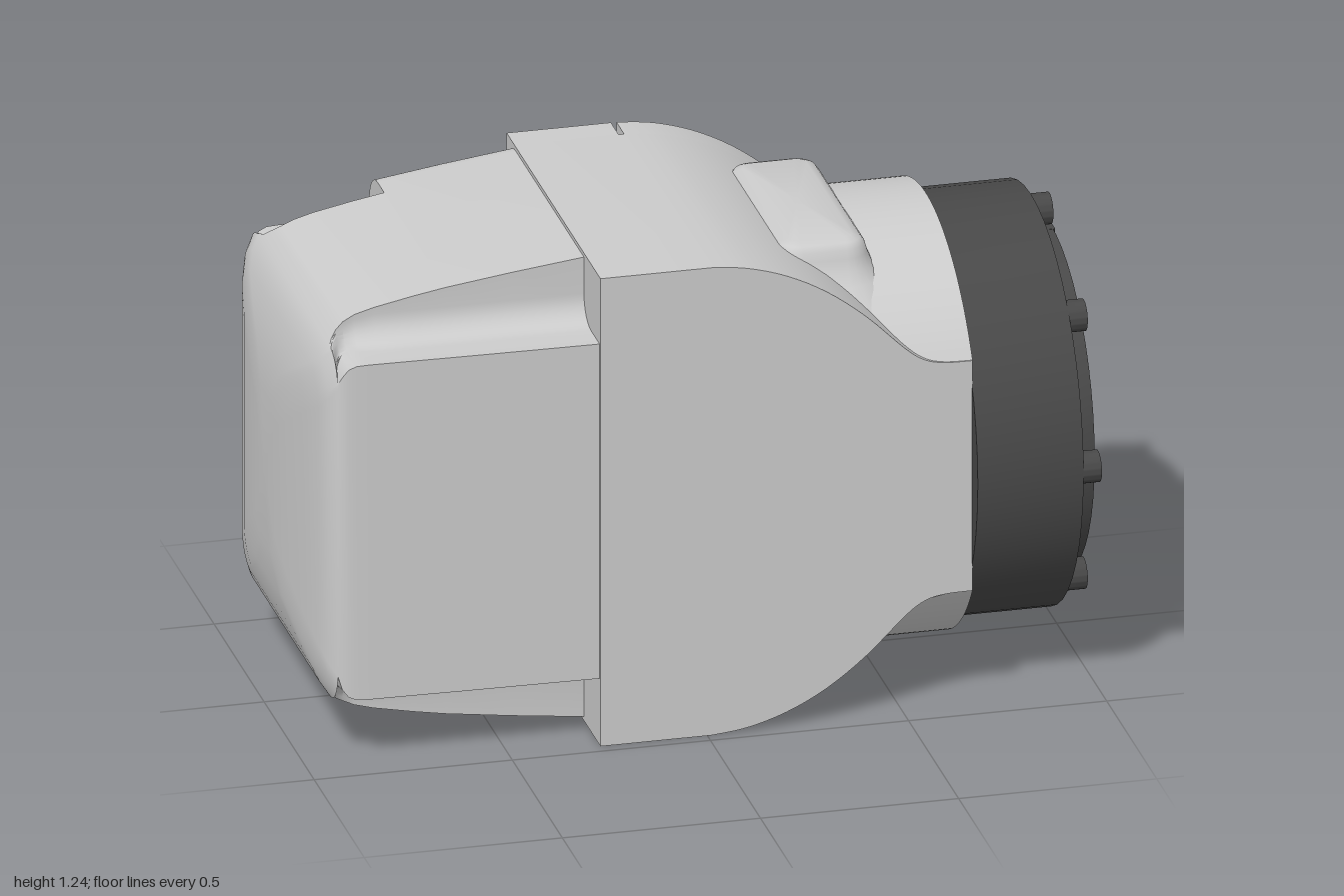
import * as THREE from 'three';
import { toCreasedNormals, mergeGeometries } from 'three/addons/utils/BufferGeometryUtils.js';

const CY = 0.622; // height of the main axis
const grey = new THREE.MeshStandardMaterial({ color: 0xcccccc });
const dark = new THREE.MeshStandardMaterial({ color: 0x484848 });

function addMesh(parent, name, geometry, material = grey) {
  const mesh = new THREE.Mesh(geometry, material);
  mesh.name = name;
  parent.add(mesh);
  return mesh;
}

// Skin between closed loops of equal point count
function loft(rings, crease = 0.6) {
  const n = rings[0].length, pos = [], index = [];
  rings.forEach(ring => ring.forEach(p => pos.push(...p)));
  for (let i = 0; i < rings.length - 1; i++) {
    for (let j = 0; j < n; j++) {
      const a = i * n + j, b = i * n + (j + 1) % n;
      index.push(a, b, b + n, a, b + n, a + n);
    }
  }
  const g = new THREE.BufferGeometry();
  g.setAttribute('position', new THREE.Float32BufferAttribute(pos, 3));
  g.setIndex(index);
  return toCreasedNormals(g, crease);
}

// Side profile of the central block, optionally with small slits at x = 0
function blockProfile(slit) {
  const curve = new THREE.SplineCurve([
    [0.01, 0.622], [0.1, 0.611], [0.2, 0.58], [0.3, 0.528], [0.4, 0.452],
    [0.5, 0.355], [0.55, 0.32], [0.6, 0.308], [0.668, 0.306],
  ].map(p => new THREE.Vector2(...p))).getPoints(32).map(p => [p.x, p.y]);
  const top = [[-0.27, 0.622]];
  if (slit) top.push([-0.007, 0.622], [-0.007, 0.59], [0.007, 0.59]);
  top.push(...(slit ? [[0.007, 0.622]] : []), ...curve);
  const bottom = top.map(([x, y]) => [x, -y]).reverse();
  return new THREE.Shape([...top, ...bottom].map(([x, y]) => new THREE.Vector2(x, CY + y)));
}

function extrude(shape, depth, z = 0) {
  const g = new THREE.ExtrudeGeometry(shape, { depth, bevelEnabled: false, curveSegments: 24 });
  return toCreasedNormals(g.translate(0, 0, z), 0.5);
}

// One quadrant of the cover section as [z, y]; k blends a round corner into a recess
function coverCorner(h, w, k) {
  const r = Math.min(0.085, 0.6 * h, 0.6 * w);
  const a = 0.445, b = 0.305, f = Math.max(0, Math.min(0.07, (h - a) * 0.8));
  const N = 9, pts = [];
  for (let i = 0; i <= N; i++) {
    const t = (i / N) * Math.PI / 2;
    const round = [w - r + r * Math.sin(t), h - r + r * Math.cos(t)];
    const u = ((i - 1) / (N - 2)) * Math.PI / 2;
    let recess = [b + f - f * Math.cos(u), a + f - f * Math.sin(u)];
    if (i === 0) recess = [b, h];
    if (i === N) recess = [w, a];
    pts.push([0, 1].map(c => round[c] * (1 - k) + recess[c] * k));
  }
  return pts;
}

function coverRing(x, h, w, kFront, kBack) {
  const front = coverCorner(h, w, kFront), back = coverCorner(h, w, kBack);
  return [
    ...front.map(([z, y]) => [x, CY + y, z]),
    ...[...front].reverse().map(([z, y]) => [x, CY - y, z]),
    ...back.map(([z, y]) => [x, CY - y, -z]),
    ...[...back].reverse().map(([z, y]) => [x, CY + y, -z]),
  ];
}

function coverGeometry() {
  // x, half height, half width, front recess, back recess
  return loft([
    [-1, 0.001, 0.001, 0, 0], [-0.998, 0.2, 0.09, 0, 0], [-0.99, 0.29, 0.19, 0, 0],
    [-0.975, 0.355, 0.3, 0, 0], [-0.96, 0.4, 0.38, 0, 0], [-0.945, 0.435, 0.42, 0, 0],
    [-0.925, 0.465, 0.44, 0, 0], [-0.915, 0.475, 0.444, 0.45, 0.45],
    [-0.9, 0.49, 0.448, 0.75, 0.75], [-0.88, 0.504, 0.45, 0.95, 0.95],
    [-0.85, 0.519, 0.451, 1, 1], [-0.8, 0.533, 0.452, 1, 1], [-0.7, 0.553, 0.454, 1, 1],
    [-0.62, 0.567, 0.456, 1, 1], [-0.62, 0.567, 0.456, 1, 0],
    [-0.45, 0.59, 0.459, 1, 0], [-0.265, 0.612, 0.462, 1, 0],
  ].map(s => coverRing(...s)));
}

// Rounded pad that flares into the neck
function padGeometry() {
  const ring = (y, d) => {
    const pts = [], r = Math.max(0.02, 0.06 + d), hx = 0.115 + d, hz = 0.285 + d;
    [[1, 1], [1, -1], [-1, -1], [-1, 1]].forEach(([sx, sz], q) => {
      for (let i = 0; i <= 6; i++) {
        const t = (q + i / 6) * Math.PI / 2;
        pts.push([0.345 + sx * (hx - r) + r * Math.sin(t), y, sz * (hz - r) + r * Math.cos(t)]);
      }
    });
    return pts;
  };
  const levels = [[1.0, 0.13], [1.05, 0.08], [1.09, 0.04], [1.12, 0.015], [1.15, 0.003],
    [1.172, -0.003], [1.187, -0.014], [1.195, -0.035]].map(l => ring(...l));
  const middle = levels.at(-1).map(() => [0.345, 1.195, 0]);
  return loft([...levels, middle], 0.9);
}

// Socket head screw along +z, base at z = 0
function screwGeometry(height) {
  const head = new THREE.Shape().absarc(0, 0, 0.04, 0, Math.PI * 2);
  const hex = [];
  for (let i = 0; i < 6; i++) {
    const a = -i * Math.PI / 3;
    hex.push(new THREE.Vector2(0.024 * Math.cos(a), 0.024 * Math.sin(a)));
  }
  head.holes.push(new THREE.Path(hex));
  const socket = new THREE.CircleGeometry(0.03, 12).toNonIndexed().translate(0, 0, height - 0.025);
  return mergeGeometries([extrude(head, height), socket]);
}

export function createModel() {
  const model = new THREE.Group();
  model.name = 'jointHousing';

  // Central block, with the slit section along its back edge
  addMesh(model, 'centralBlock', extrude(blockProfile(false), 0.86, -0.39));
  addMesh(model, 'centralBlockBack', extrude(blockProfile(true), 0.077, -0.467));

  // Round neck with flattened sides
  const R = 0.558, half = 0.467, a = Math.acos(half / R);
  const neck = new THREE.Shape();
  neck.absarc(0, 0, R, a, Math.PI - a);
  neck.absarc(0, 0, R, Math.PI + a, Math.PI * 2 - a);
  const neckGeometry = extrude(neck, 0.57, 0.1).rotateY(Math.PI / 2).translate(0, CY, 0);
  addMesh(model, 'neck', neckGeometry);
  addMesh(model, 'topPad', padGeometry());

  // Tapered end cover with recessed corners
  addMesh(model, 'endCover', coverGeometry());

  // Output flange with stepped rings and a deep bore
  const flange = new THREE.Group();
  flange.name = 'outputFlange';
  flange.position.y = CY;
  model.add(flange);
  const profile = [
    [0, 0.668], [0.527, 0.668], [0.527, 0.935], [0.44, 0.935], [0.44, 0.985], [0.395, 0.985],
    [0.395, 0.97], [0.348, 0.97], [0.348, 1], [0.335, 1], [0.328, 0.985], [0.328, 0.83],
    [0.305, 0.83], [0.305, 0.825], [0, 0.825],
  ].map(p => new THREE.Vector2(...p));
  const lathe = new THREE.LatheGeometry(profile, 48).rotateZ(-Math.PI / 2);
  addMesh(flange, 'flangeBody', toCreasedNormals(lathe, 0.5), dark);
  addMesh(flange, 'flangeKey', new THREE.BoxGeometry(0.03, 0.042, 0.05), dark)
    .position.set(0.975, 0.418, 0);

  // Ring of flange screws
  const screw = screwGeometry(0.05).rotateY(Math.PI / 2);
  for (let i = 0; i < 8; i++) {
    const t = i * Math.PI / 4;
    addMesh(flange, 'flangeScrew', screw, dark)
      .position.set(0.932, 0.485 * Math.cos(t), 0.485 * Math.sin(t));
  }

  // Pair of screws on the back face
  const backScrew = screwGeometry(0.065).rotateY(Math.PI);
  for (const s of [-1, 1]) {
    addMesh(model, 'backScrew', backScrew).position.set(0.597, CY + s * 0.307, -0.45);
  }
  return model;
}
